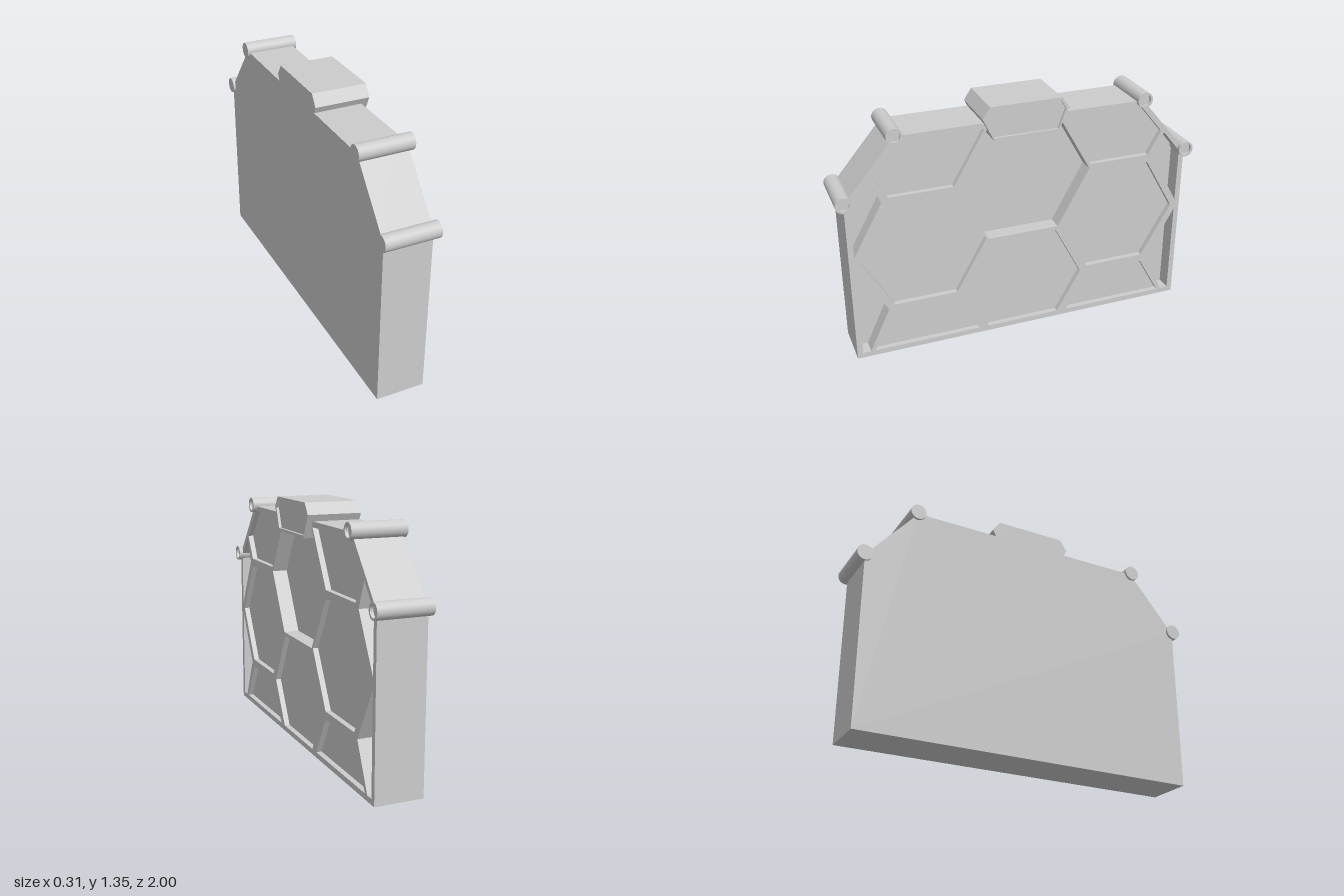
import * as THREE from 'three';

const material = new THREE.MeshStandardMaterial({ color: 0xcccccc });
const sided = material.clone();
sided.side = THREE.DoubleSide;

const BACK = -0.145, FACE = 0.117, DEEP = 0.085, SHALLOW = 0.03;

// Profiles are [across, up]; the depth of the panel runs along the extrusion axis.
const mirror = (pts) => pts.map(([u, v]) => [-u, v]).reverse();
const symmetric = (half) => [...half, ...mirror(half)];
const toShape = (pts) => new THREE.Shape(pts.map(([u, v]) => new THREE.Vector2(u, v)));

const outline = symmetric([[0.955, 0], [0.955, 0.93], [0.68, 1.255]]);

// Recesses in the panel
const sideCells = [
  [[0.73, 0.885], [0.9, 0.59], [0.73, 0.295], [0.385, 0.295], [0.215, 0.59], [0.385, 0.885]],
  [[0.667, 1.225], [0.803, 1.06], [0.73, 0.93], [0.385, 0.93], [0.213, 1.225]],
  [[0.73, 0.25], [0.855, 0.03], [0.262, 0.03], [0.385, 0.25]],
];
const edgeCells = [
  [[0.925, 0.925], [0.925, 0.62], [0.766, 0.907], [0.822, 1.05]],
  [[0.925, 0.56], [0.925, 0.03], [0.88, 0.03], [0.766, 0.272]],
];
const both = (cells) => cells.flatMap((c) => [c, mirror(c)]);
const shallowCells = [
  ...both(sideCells),
  symmetric([[0.207, 0.03], [0.345, 0.27], [0.188, 0.565]]),
];
const deepCells = [
  ...both(edgeCells),
  symmetric([[0.2, 0.587], [0.378, 0.907], [0.2, 1.222]]),
];

function createModel() {
  const model = new THREE.Group();
  const panel = new THREE.Group();
  panel.name = 'honeycombPanel';
  panel.rotation.y = Math.PI / 2;
  model.add(panel);

  const add = (name, geometry, mat = material) => {
    const mesh = new THREE.Mesh(geometry, mat);
    mesh.name = name;
    panel.add(mesh);
    return mesh;
  };
  const slab = (name, pts, from, to, holes = []) => {
    const shape = toShape(pts);
    shape.holes = holes.map(toShape);
    const geometry = new THREE.ExtrudeGeometry(shape, { depth: to - from, bevelEnabled: false });
    return add(name, geometry.translate(0, 0, from));
  };

  // Solid back and pierced front lattice
  slab('backSlab', outline, BACK, FACE - DEEP);
  slab('lattice', outline, FACE - DEEP, FACE, [...shallowCells, ...deepCells]);

  // Raised floors of the shallow cells
  for (const cell of shallowCells) {
    add('cellFloor', new THREE.ShapeGeometry(toShape(cell)).translate(0, 0, FACE - SHALLOW), sided);
  }

  // Six-sided block on the top edge, with a thin raised rim on its face
  const block = symmetric([[0.175, 1.165], [0.235, 1.29], [0.195, 1.35]]);
  const blockInset = symmetric([[0.177, 1.18], [0.217, 1.288], [0.187, 1.336]]);
  slab('topBlock', block, BACK, 0.137);
  slab('topBlockRim', block, 0.137, 0.152, [blockInset]);

  // Corner rods with a dished front end; each edge is doubled to stay sharp
  const profile = [[0, -0.158], [0.043, -0.158], [0.043, 0.138], [0.031, 0.138], [0.031, 0.12], [0, 0.12]];
  for (const side of [-1, 1]) {
    for (const [u, v] of [[0.683, 1.26], [0.957, 0.935]]) {
      const rod = new THREE.Group();
      rod.name = 'cornerRod';
      rod.position.set(side * u, v, 0);
      rod.rotation.x = Math.PI / 2;
      for (let i = 0; i < profile.length - 1; i++) {
        const ends = [profile[i], profile[i + 1]].map(([r, h]) => new THREE.Vector2(r, h));
        const mesh = new THREE.Mesh(new THREE.LatheGeometry(ends, 32), material);
        mesh.name = 'rodSurface';
        rod.add(mesh);
      }
      panel.add(rod);
    }
  }
  return model;
}

export { createModel };
